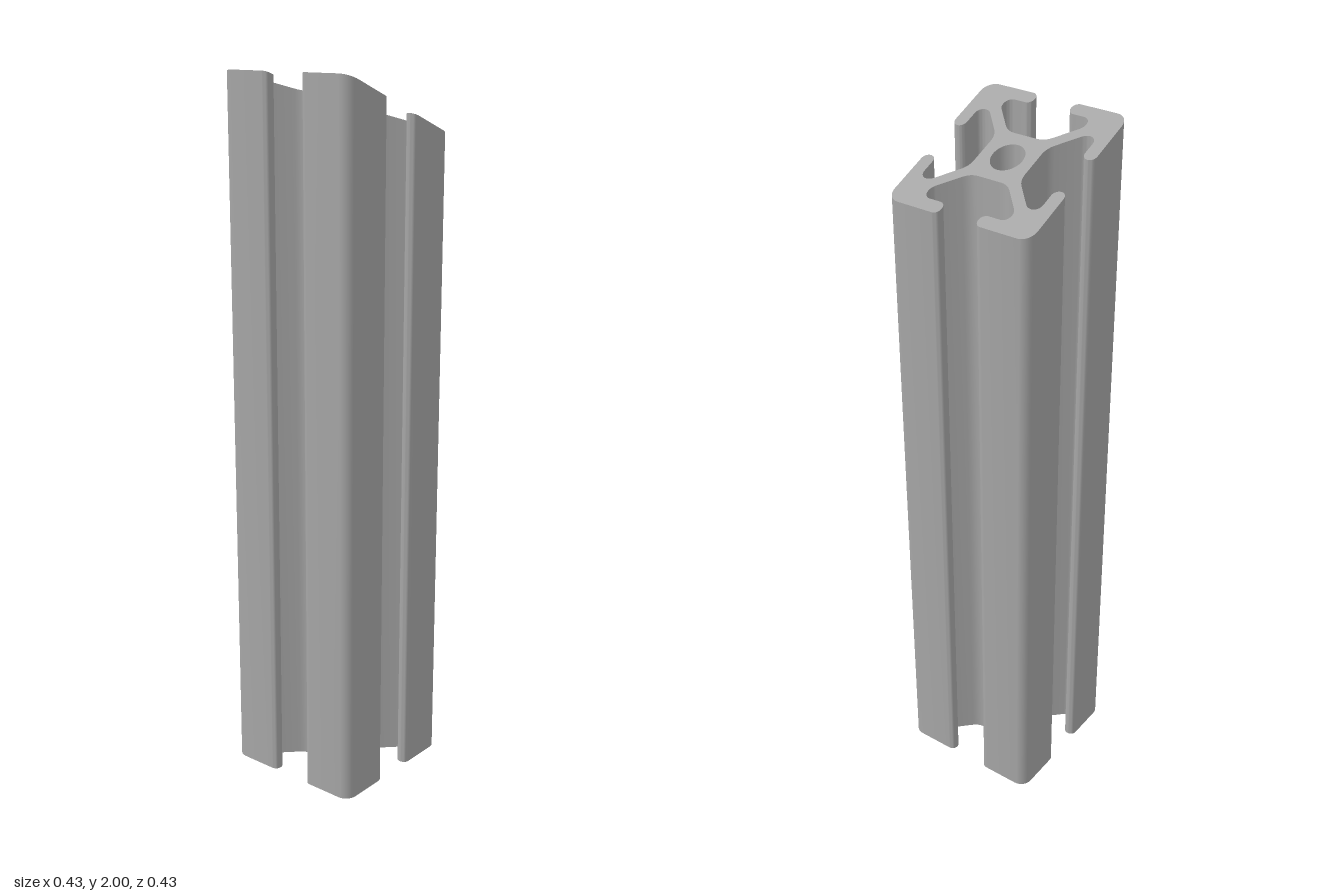
import * as THREE from 'three';
import { toCreasedNormals } from 'three/addons/utils/BufferGeometryUtils.js';

const HALF = 0.215, HEIGHT = 2, SLOPE = 0.4;

// Replace each corner [x, y, radius] of a closed outline by a sampled arc
function roundOutline(corners) {
  const points = [];
  corners.forEach(([x, y, r], i) => {
    const n = corners.length;
    const p = new THREE.Vector2(x, y);
    const a = new THREE.Vector2(...corners[(i + n - 1) % n]).sub(p).normalize();
    const b = new THREE.Vector2(...corners[(i + 1) % n]).sub(p).normalize();
    const half = Math.acos(a.dot(b)) / 2;
    const turn = Math.PI - 2 * half;
    const centre = a.clone().add(b).normalize().multiplyScalar(r / Math.sin(half)).add(p);
    const start = a.clone().multiplyScalar(r / Math.tan(half)).add(p).sub(centre);
    const sign = a.cross(b) < 0 ? 1 : -1;
    const steps = Math.max(4, Math.round(turn / 0.2));
    for (let k = 0; k <= steps; k++) {
      const t = sign * turn * k / steps, c = Math.cos(t), s = Math.sin(t);
      points.push(new THREE.Vector2(
        centre.x + start.x * c - start.y * s,
        centre.y + start.x * s + start.y * c));
    }
  });
  return points;
}

export function createModel() {
  const group = new THREE.Group();
  group.name = 'slottedProfile';
  const aluminium = new THREE.MeshStandardMaterial({ color: 0xa6a6a6 });
  aluminium.name = 'aluminium grey';

  // Half of one arm: core fillet, strut, pocket, lip
  const arm = [
    [0.077, 0.056, 0.05], [0.147, 0.126, 0.025], [0.179, 0.126, 0.02],
    [0.179, 0.055, 0.0175], [HALF, 0.055, 0.0175],
  ];
  // Mirror it over the diagonal, then turn it round the four sides
  const quadrant = [...arm, [HALF, HALF, 0.035],
    ...arm.map(([x, y, r]) => [y, x, r]).reverse()];
  const corners = [];
  for (let q = 0; q < 4; q++) {
    const c = [1, 0, -1, 0][q], s = [0, 1, 0, -1][q];
    quadrant.forEach(([x, y, r]) => corners.push([x * c - y * s, x * s + y * c, r]));
  }

  // Section with the central bore
  const section = new THREE.Shape(roundOutline(corners));
  const bore = new THREE.Path();
  bore.absarc(0, 0, 0.044, 0, Math.PI * 2, true);
  section.holes.push(bore);

  const geometry = new THREE.ExtrudeGeometry(section, { depth: HEIGHT, bevelEnabled: false, curveSegments: 20 });
  geometry.rotateX(-Math.PI / 2);

  // Mitre cut: the top falls towards +x
  const pos = geometry.attributes.position;
  for (let i = 0; i < pos.count; i++) {
    if (pos.getY(i) > 1) pos.setY(i, HEIGHT - SLOPE * (pos.getX(i) + HALF));
  }

  const profile = new THREE.Mesh(toCreasedNormals(geometry, 0.6), aluminium);
  profile.name = 'extrudedRail';
  group.add(profile);
  return group;
}
